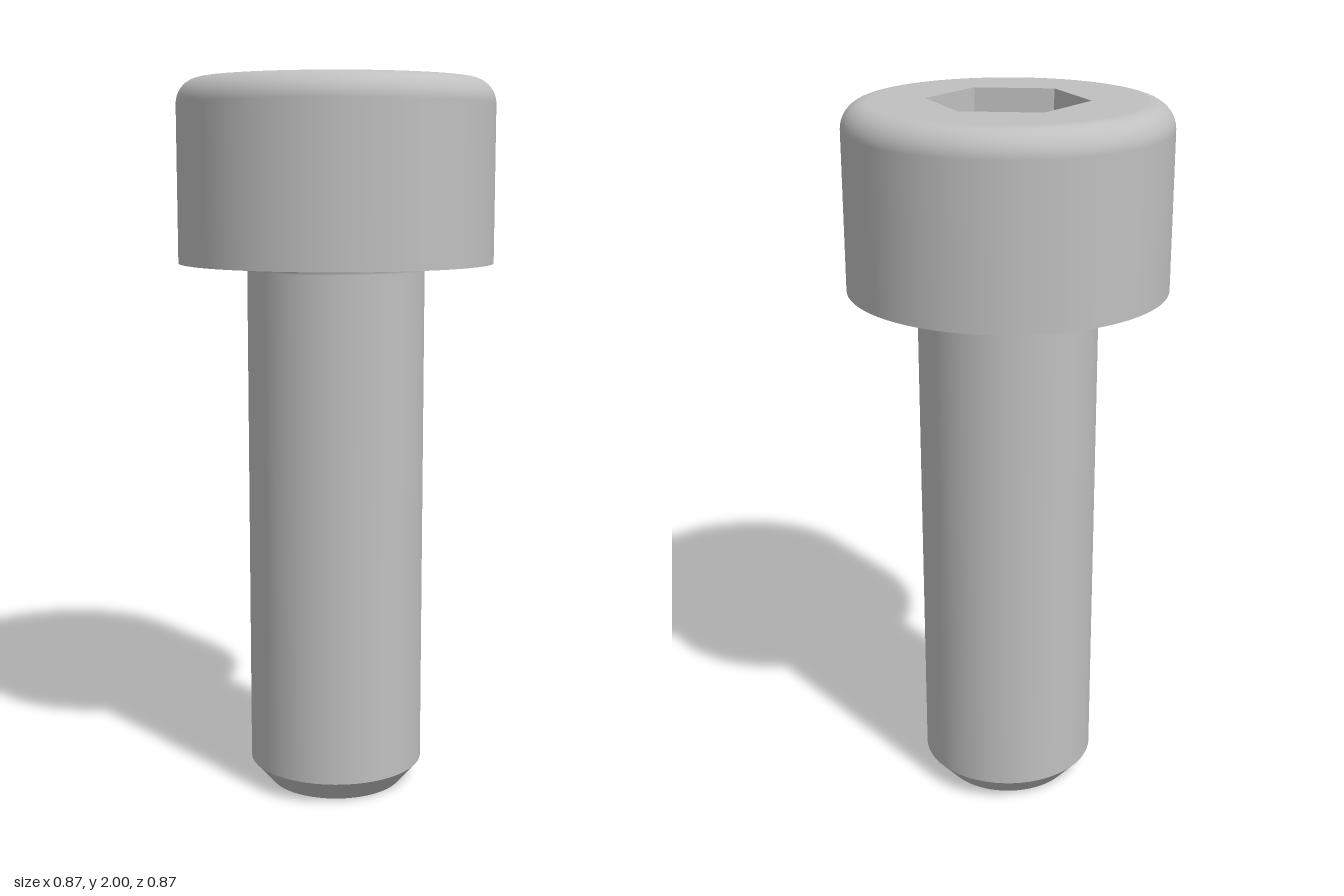
import * as THREE from 'three';
import { mergeGeometries } from 'three/addons/utils/BufferGeometryUtils.js';

const SIDES = 72;
const HEAD_R = 0.437, HEAD_Y = 1.5, TOP_Y = 2, ROUND = 0.07;
const SHANK_R = 0.247, TIP_R = 0.19, CHAMFER_Y = 0.065, FILLET = 0.02;
const SOCKET_R = 0.217, WALL_DEPTH = 0.14, CONE_DEPTH = 0.11;

// Quarter arc of profile points around (cx, cy)
function arc(cx, cy, r, from, to, steps) {
  return Array.from({ length: steps + 1 }, (_, i) => {
    const a = from + (to - from) * i / steps;
    return [cx + r * Math.cos(a), cy + r * Math.sin(a)];
  });
}

// Points of a regular polygon, first corner on the z axis
function ring(r, n) {
  return Array.from({ length: n }, (_, i) => {
    const a = i / n * Math.PI * 2;
    return new THREE.Vector2(r * Math.sin(a), r * Math.cos(a));
  });
}

// Each profile is smooth within itself; joins between profiles stay sharp
function turned(...profiles) {
  return mergeGeometries(profiles.map(p =>
    new THREE.LatheGeometry(p.map(([x, y]) => new THREE.Vector2(x, y)), SIDES)));
}

// Six flat faces seen from inside
function hexInside(rTop, rBottom, height, topY) {
  const g = new THREE.CylinderGeometry(rTop, rBottom, height, 6, 1, true)
    .translate(0, topY - height / 2, 0).scale(-1, 1, 1).toNonIndexed();
  g.computeVertexNormals();
  return g;
}

export function createModel() {
  const group = new THREE.Group();
  const steel = new THREE.MeshStandardMaterial({ color: 0xc0c0c0 });
  steel.name = 'steel grey';

  const add = (name, geometry) => {
    const mesh = new THREE.Mesh(geometry, steel);
    mesh.name = name;
    group.add(mesh);
  };

  // Shank with flat end, chamfered tip and a small fillet below the head
  add('shank', turned(
    [[0, 0], [TIP_R, 0]],
    [[TIP_R, 0], [SHANK_R, CHAMFER_Y]],
    [[SHANK_R, CHAMFER_Y],
      ...arc(SHANK_R + FILLET, HEAD_Y - FILLET, FILLET, Math.PI, Math.PI / 2, 5)]
  ));

  // Head: flat underside, straight side and rounded top edge
  add('head', turned(
    [[SHANK_R + FILLET, HEAD_Y], [HEAD_R, HEAD_Y]],
    [[HEAD_R, HEAD_Y],
      ...arc(HEAD_R - ROUND, TOP_Y - ROUND, ROUND, 0, Math.PI / 2, 10)]
  ));

  // Flat top face with a hexagonal opening
  const face = new THREE.Shape(ring(HEAD_R - ROUND, SIDES));
  face.holes.push(new THREE.Path(ring(SOCKET_R, 6)));
  add('headTop', new THREE.ShapeGeometry(face).rotateX(-Math.PI / 2).translate(0, TOP_Y, 0));

  // Hex socket: upright walls, then a pointed floor
  add('socketWalls', hexInside(SOCKET_R, SOCKET_R, WALL_DEPTH, TOP_Y));
  add('socketFloor', hexInside(SOCKET_R, 0, CONE_DEPTH, TOP_Y - WALL_DEPTH));

  return group;
}
